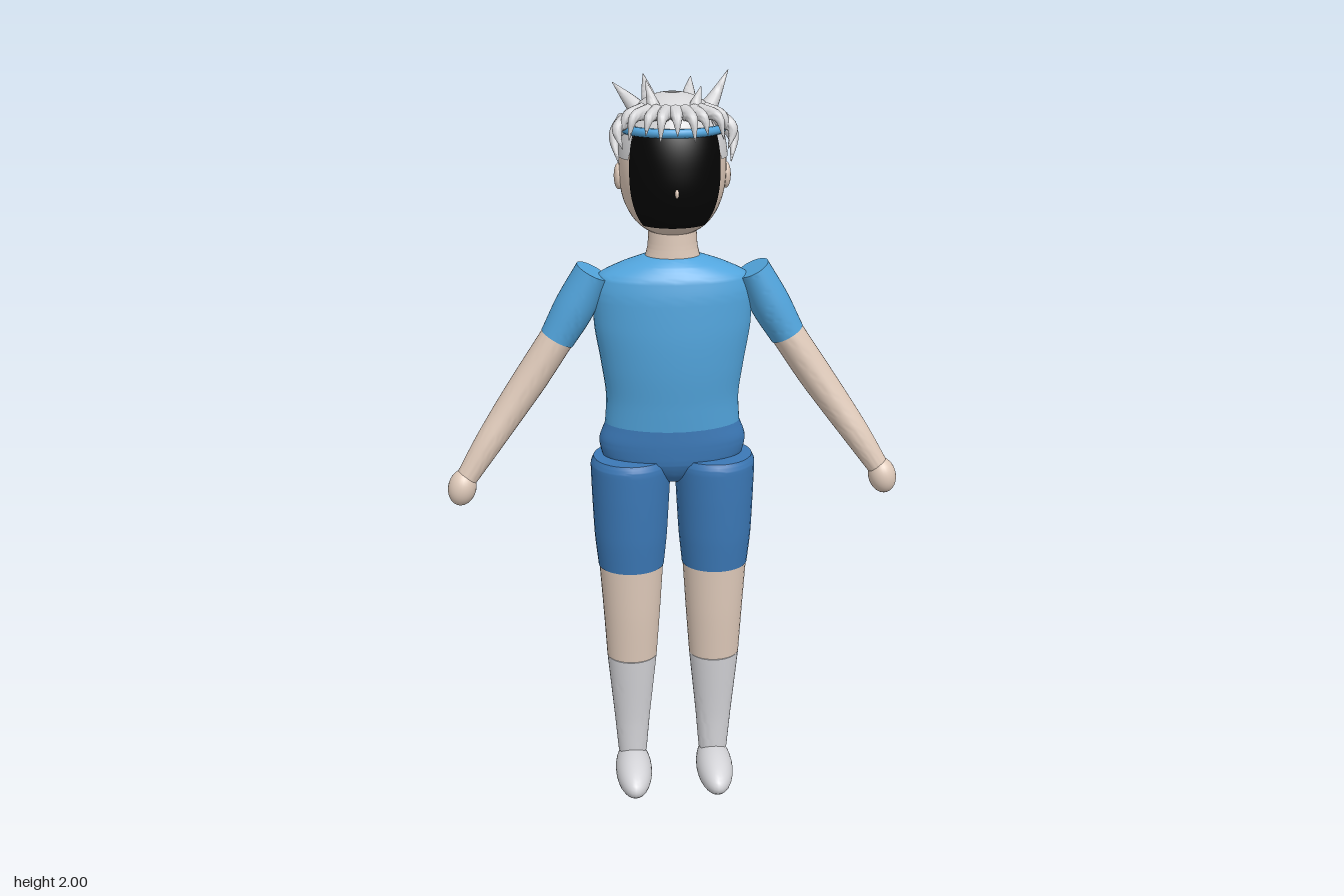
import * as THREE from 'three';
import { toCreasedNormals } from 'three/addons/utils/BufferGeometryUtils.js';
import { ParametricGeometry } from 'three/addons/geometries/ParametricGeometry.js';

const material = (name, color, side = THREE.FrontSide) => {
  const m = new THREE.MeshStandardMaterial({ color, side });
  m.name = name;
  return m;
};

// Smooth tube through sections [x, y, z, sideRadius, depthRadius], closed at both ends
function loft(sections, ref = new THREE.Vector3(0, 0, 1), around = 32, along = 24) {
  const path = new THREE.CatmullRomCurve3(sections.map(s => new THREE.Vector3(s[0], s[1], s[2])));
  const radii = new THREE.CatmullRomCurve3(sections.map(s => new THREE.Vector3(s[3], s[4], 0)));
  const rows = along + 2;
  const surface = (u, v, out) => {
    const row = Math.round(v * rows);
    const t = THREE.MathUtils.clamp((row - 1) / along, 0, 1);
    const cap = row === 0 || row === rows ? 0 : 1;
    const tangent = path.getTangent(t);
    const depth = ref.clone().addScaledVector(tangent, -ref.dot(tangent)).normalize();
    const side = tangent.clone().cross(depth);
    const r = radii.getPoint(t);
    const a = u * Math.PI * 2;
    out.copy(path.getPoint(t))
      .addScaledVector(side, Math.sin(a) * r.x * cap)
      .addScaledVector(depth, Math.cos(a) * r.y * cap);
  };
  return toCreasedNormals(new ParametricGeometry(surface, around, rows), 0.8);
}

// Head surface: a slightly squared ellipsoid
const HEAD = { y: 1.775, z: -0.012, rx: 0.135, ry: 0.175, rz: 0.142, n: 2.3 };
function headPoint(azimuth, y, scale, out = new THREE.Vector3()) {
  const t = Math.min(1, Math.abs((y - HEAD.y) / HEAD.ry));
  const r = Math.pow(1 - Math.pow(t, HEAD.n), 1 / HEAD.n) * scale;
  return out.set(Math.sin(azimuth) * HEAD.rx * r,
    HEAD.y + (y - HEAD.y) * scale,
    HEAD.z + Math.cos(azimuth) * HEAD.rz * r);
}

// Patch of the head between two azimuths, from low(azimuth) up to a top height
function headPatch(from, to, low, top, scale, cols, rows) {
  const angle = y => Math.asin(THREE.MathUtils.clamp((y - HEAD.y) / HEAD.ry, -1, 1));
  return new ParametricGeometry((u, v, out) => {
    const az = from + (to - from) * u;
    const a = THREE.MathUtils.lerp(angle(low(az)), angle(top), v);
    headPoint(az, HEAD.y + Math.sin(a) * HEAD.ry, scale, out);
  }, cols, rows);
}

export function createModel() {
  const model = new THREE.Group();
  const skin = material('skin', 0xdfcaba);
  const shirt = material('shirt blue', 0x52a5dd);
  const shorts = material('shorts blue', 0x3b78b6);
  const white = material('sock white', 0xd6d6da);
  const hair = material('hair silver', 0xd4d4d6, THREE.DoubleSide);
  const black = material('face black', 0x040404, THREE.DoubleSide);

  const add = (name, geometry, mat, parent = model) => {
    const mesh = new THREE.Mesh(geometry, mat);
    mesh.name = name;
    parent.add(mesh);
    return mesh;
  };
  const ball = (name, mat, [x, y, z], [rx, ry, rz], parent) => {
    const mesh = add(name, new THREE.SphereGeometry(1, 28, 18), mat, parent);
    mesh.position.set(x, y, z);
    mesh.scale.set(rx, ry, rz);
    return mesh;
  };

  // Torso
  add('shirtBody', loft([
    [0, 1.1, -0.014, 0.18, 0.094], [0, 1.17, -0.01, 0.176, 0.098], [0, 1.27, -0.006, 0.188, 0.106],
    [0, 1.37, -0.006, 0.204, 0.11], [0, 1.45, -0.006, 0.207, 0.108], [0, 1.5, -0.006, 0.195, 0.1],
    [0, 1.53, -0.006, 0.135, 0.082], [0, 1.55, -0.006, 0.075, 0.058],
  ], undefined, 40, 42), shirt);
  add('shortsWaist', loft([
    [0, 0.94, -0.014, 0.05, 0.05], [0, 0.965, -0.014, 0.1, 0.075], [0, 1.0, -0.015, 0.185, 0.092],
    [0, 1.05, -0.015, 0.196, 0.095], [0, 1.1, -0.014, 0.18, 0.094],
  ], undefined, 40), shorts);
  add('neck', loft([
    [0, 1.54, -0.007, 0.073, 0.058], [0, 1.575, -0.007, 0.064, 0.056], [0, 1.64, -0.007, 0.06, 0.054],
  ]), skin);

  for (const s of [1, -1]) {
    const label = s > 0 ? 'left' : 'right';
    const mirror = list => list.map(([x, ...rest]) => [s * x, ...rest]);

    // Legs
    const leg = new THREE.Group();
    leg.name = label + 'Leg';
    model.add(leg);
    add('shortsLeg', loft(mirror([
      [0.115, 0.69, 0.004, 0.09, 0.085], [0.115, 0.78, 0.002, 0.099, 0.096], [0.114, 0.9, -0.001, 0.105, 0.105],
      [0.113, 0.985, -0.002, 0.108, 0.108], [0.113, 1.008, -0.002, 0.1, 0.1],
    ])), shorts, leg);
    add('bareLeg', loft(mirror([
      [0.116, 0.41, 0.008, 0.07, 0.061], [0.115, 0.55, 0.007, 0.079, 0.073], [0.115, 0.69, 0.004, 0.088, 0.083],
    ])), skin, leg);
    add('sock', loft(mirror([
      [0.117, 0.09, 0.0, 0.041, 0.037], [0.117, 0.2, 0.002, 0.05, 0.042], [0.116, 0.41, 0.008, 0.07, 0.061],
    ])), white, leg);
    ball('foot', white, [s * 0.117, 0.053, 0.053], [0.052, 0.053, 0.128], leg);

    // Arms
    const arm = new THREE.Group();
    arm.name = label + 'Arm';
    model.add(arm);
    add('sleeve', loft(mirror([
      [0.205, 1.512, 0.0, 0.045, 0.064], [0.25, 1.425, 0.0, 0.052, 0.062], [0.3, 1.338, 0.002, 0.046, 0.053],
    ])), shirt, arm);
    add('bareArm', loft(mirror([
      [0.298, 1.342, 0.002, 0.044, 0.051], [0.37, 1.235, 0.01, 0.044, 0.048], [0.43, 1.15, 0.022, 0.041, 0.044],
      [0.49, 1.065, 0.042, 0.036, 0.036], [0.55, 0.975, 0.058, 0.028, 0.028],
    ])), skin, arm);
    ball('hand', skin, [s * 0.561, 0.952, 0.06], [0.037, 0.05, 0.039], arm).rotation.z = s * 0.25;

    ball('ear', skin, [s * 0.135, 1.75, -0.01], [0.012, 0.033, 0.02]);
  }

  // Head, dark face and nose
  add('head', headPatch(0, Math.PI * 2, () => HEAD.y - HEAD.ry, HEAD.y + HEAD.ry, 1, 48, 32), skin);
  add('face', headPatch(-0.96, 0.96, () => 1.637, 1.89, 1.015, 30, 20), black);
  ball('nose', skin, [0, 1.728, 0.131], [0.005, 0.011, 0.008]);

  // Hair cap: high over the brow, above the ears, low at the nape
  const hairline = az => {
    const a = Math.abs(az);
    if (a < 0.96) return 1.865;
    if (a < 1.88) return 1.8;
    return Math.max(1.66, 1.8 - (a - 1.88) * 0.18);
  };
  add('hairCap', headPatch(-Math.PI, Math.PI, hairline, 1.9493, 1.025, 96, 24), hair);

  // Headband
  const band = add('headband', new THREE.TorusGeometry(0.126, 0.011, 10, 56), shirt);
  band.rotation.x = Math.PI / 2;
  band.scale.y = HEAD.rz / HEAD.rx;
  band.position.set(0, 1.87, HEAD.z);

  // Spiky hair: tapered curved locks from base through middle to tip
  const lock = (name, base, mid, tip, r) => {
    const across = new THREE.Vector3(tip[2] - base[2], 0, base[0] - tip[0]).normalize();
    add(name, loft([[...base, r, r], [...mid, r * 0.62, r * 0.62], [...tip, 0.001, 0.001]], across, 12, 10), hair);
  };
  const spikes = [
    [[-0.05, 1.915, -0.07], [-0.056, 1.945, -0.115], [-0.062, 1.98, -0.18], 0.023],
    [[0.045, 1.915, -0.07], [0.05, 1.945, -0.11], [0.058, 1.975, -0.157], 0.023],
    [[-0.08, 1.905, -0.02], [-0.108, 1.935, -0.035], [-0.145, 1.972, -0.058], 0.025],
    [[0.085, 1.905, -0.02], [0.108, 1.94, -0.035], [0.142, 2.0, -0.058], 0.025],
    [[-0.045, 1.905, 0.058], [-0.055, 1.94, 0.052], [-0.068, 1.985, 0.032], 0.022],
    [[0.045, 1.905, 0.058], [0.053, 1.935, 0.052], [0.066, 1.97, 0.032], 0.022],
  ];
  for (const [base, mid, tip, r] of spikes) lock('hairSpike', base, mid, tip, r);

  // Fringe hanging over the headband
  for (let i = -4; i <= 4; i++) {
    const az = i * 0.25;
    const reach = i % 2 ? 0.03 : 0.018;
    const at = (y, out) => {
      const p = headPoint(az, 1.87, 1);
      return [p.x + Math.sin(az) * out, y, p.z + Math.cos(az) * out];
    };
    lock('fringeLock', at(1.915, -0.03), at(1.905, reach), at(i % 2 ? 1.855 : 1.868, reach + 0.018), 0.02);
  }

  // Larger locks at the temples
  for (const s of [1, -1]) {
    lock('templeLock', [s * 0.115, 1.89, 0.01], [s * 0.145, 1.855, 0.035], [s * 0.138, 1.795, 0.07], 0.024);
    lock('templeLock', [s * 0.105, 1.9, 0.04], [s * 0.14, 1.875, 0.07], [s * 0.128, 1.83, 0.09], 0.022);
  }

  return model;
}
